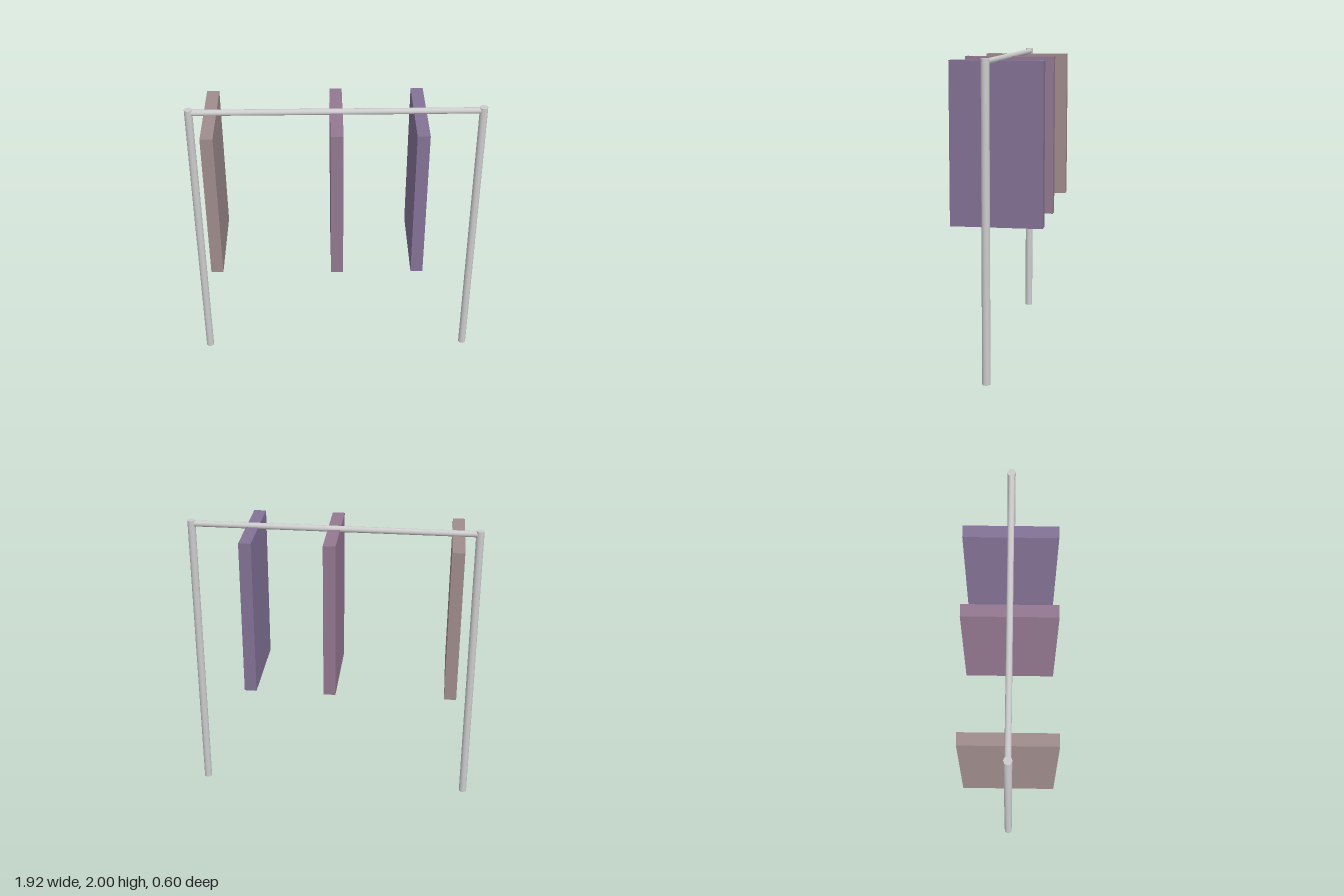
import * as THREE from 'three';

export function createModel() {
  const model = new THREE.Group();
  const metal = new THREE.MeshStandardMaterial({ color: 0xcccccc });

  function add(name, geometry, material, x, y) {
    const mesh = new THREE.Mesh(geometry, material);
    mesh.name = name;
    mesh.position.set(x, y, 0);
    model.add(mesh);
    return mesh;
  }

  // Upright posts
  const postX = 0.935;
  const postGeometry = new THREE.CylinderGeometry(0.026, 0.026, 2, 32);
  add('leftPost', postGeometry, metal, postX, 1);
  add('rightPost', postGeometry, metal, -postX, 1);

  // Crossbar, ending inside the posts
  const barGeometry = new THREE.CylinderGeometry(0.02, 0.02, 2 * postX, 32);
  add('crossbar', barGeometry, metal, 0, 1.977).rotation.z = Math.PI / 2;

  // Hanging panels: name, centre x, bottom, top, colour
  const panels = [
    ['rightPanel', -0.8, 0.925, 1.965, 0x9f8d8c],
    ['middlePanel', 0, 0.915, 1.976, 0x937890],
    ['leftPanel', 0.532, 0.915, 1.972, 0x837396],
  ];
  for (const [name, x, bottom, top, color] of panels) {
    const geometry = new THREE.BoxGeometry(0.08, top - bottom, 0.6);
    add(name, geometry, new THREE.MeshStandardMaterial({ color }), x, (top + bottom) / 2);
  }

  return model;
}
